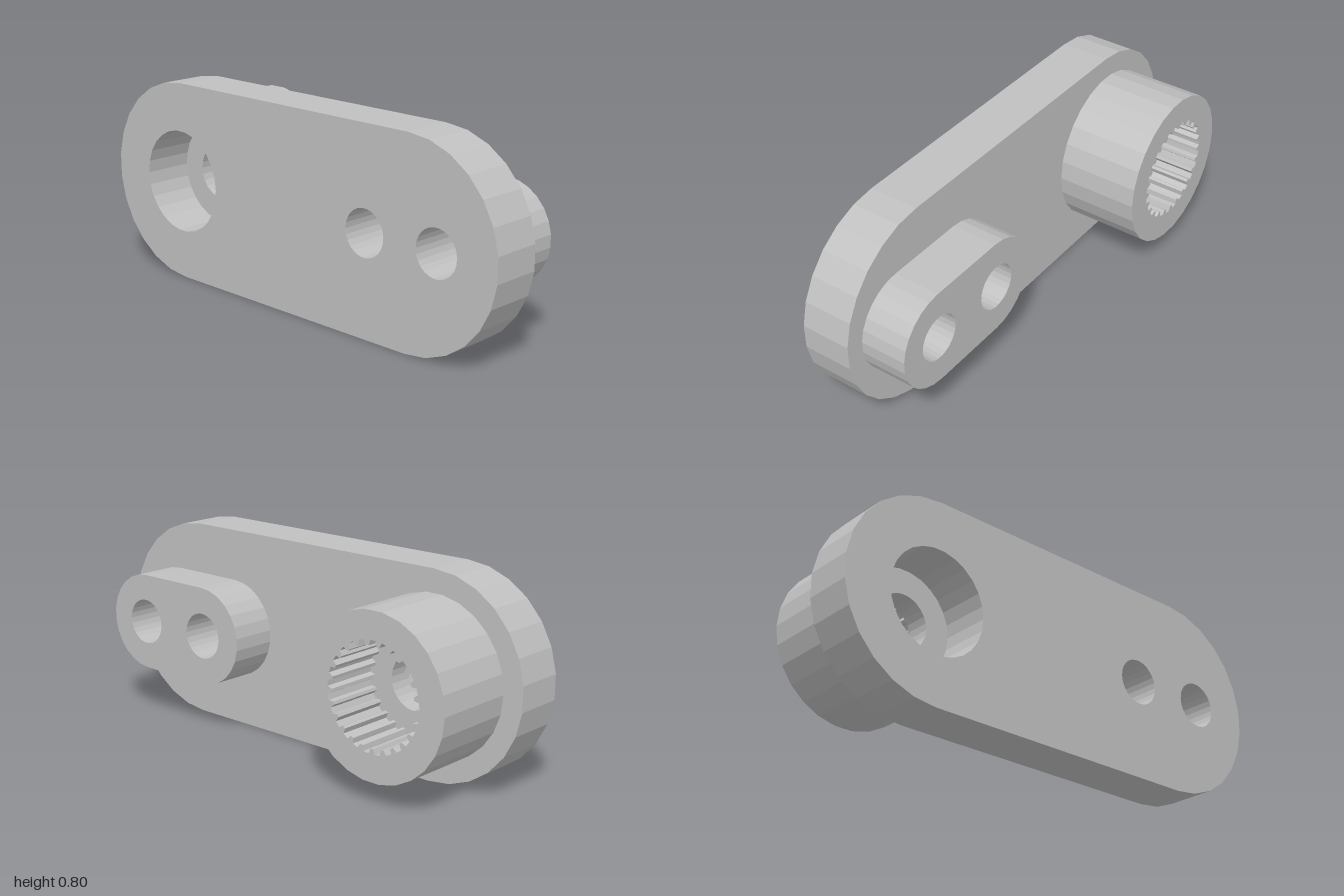
import * as THREE from 'three';

const CY = 0.401;      // height of the shared centre line
const HALF = 13;       // facets per half circle
const HUB_X = -0.604;

// Points of an arc around (x, CY)
function arc(x, r, start, sweep, n, closed) {
  const pts = [];
  for (let i = 0; i < n + (closed ? 0 : 1); i++) {
    const a = start + (sweep * i) / n;
    pts.push(new THREE.Vector2(x + r * Math.cos(a), CY + r * Math.sin(a)));
  }
  return pts;
}

const circle = (x, r) => arc(x, r, 0, Math.PI * 2, HALF * 2, true);

// Rounded slot outline between two end centres
const slot = (x0, x1, r) => [
  ...arc(x1, r, -Math.PI / 2, Math.PI, HALF, false),
  ...arc(x0, r, Math.PI / 2, Math.PI, HALF, false),
];

// Ring of trapezoid teeth pointing inward
function spline(x, rIn, rOut, teeth) {
  const pts = [];
  const step = (Math.PI * 2) / teeth;
  for (let i = 0; i < teeth; i++) {
    [[0, rOut], [0.45, rOut], [0.6, rIn], [0.85, rIn]].forEach(([f, r]) => {
      const a = (i + f) * step;
      pts.push(new THREE.Vector2(x + r * Math.cos(a), CY + r * Math.sin(a)));
    });
  }
  return pts;
}

export function createModel() {
  const group = new THREE.Group();
  const grey = new THREE.MeshStandardMaterial({ color: 0xc0c0c0 });
  grey.name = 'grey';

  // Extrude an outline with holes from z0 to z1
  function add(name, outline, holes, z0, z1) {
    const shape = new THREE.Shape(outline);
    holes.forEach((h) => shape.holes.push(new THREE.Path(h)));
    const geo = new THREE.ExtrudeGeometry(shape, { depth: z1 - z0, bevelEnabled: false });
    geo.translate(0, 0, z0);
    const mesh = new THREE.Mesh(geo, grey);
    mesh.name = name;
    group.add(mesh);
  }

  const pinHoles = [circle(0.399, 0.092), circle(0.733, 0.092)];

  // Main arm with the screw recess and two pin holes
  add('armPlate', slot(-0.599, 0.599, 0.401), [circle(HUB_X, 0.207), ...pinHoles], 0.067, 0.267);
  // Raised pad around the pin holes
  add('pinPad', slot(0.401, 0.729, 0.197), pinHoles, -0.12, 0.067);
  // Hub: web with screw hole, then toothed socket
  add('hubWeb', circle(HUB_X, 0.313), [circle(HUB_X, 0.107)], -0.03, 0.067);
  add('hubSocket', circle(HUB_X, 0.313), [spline(HUB_X, 0.186, 0.206, 25)], -0.267, -0.03);

  return group;
}
